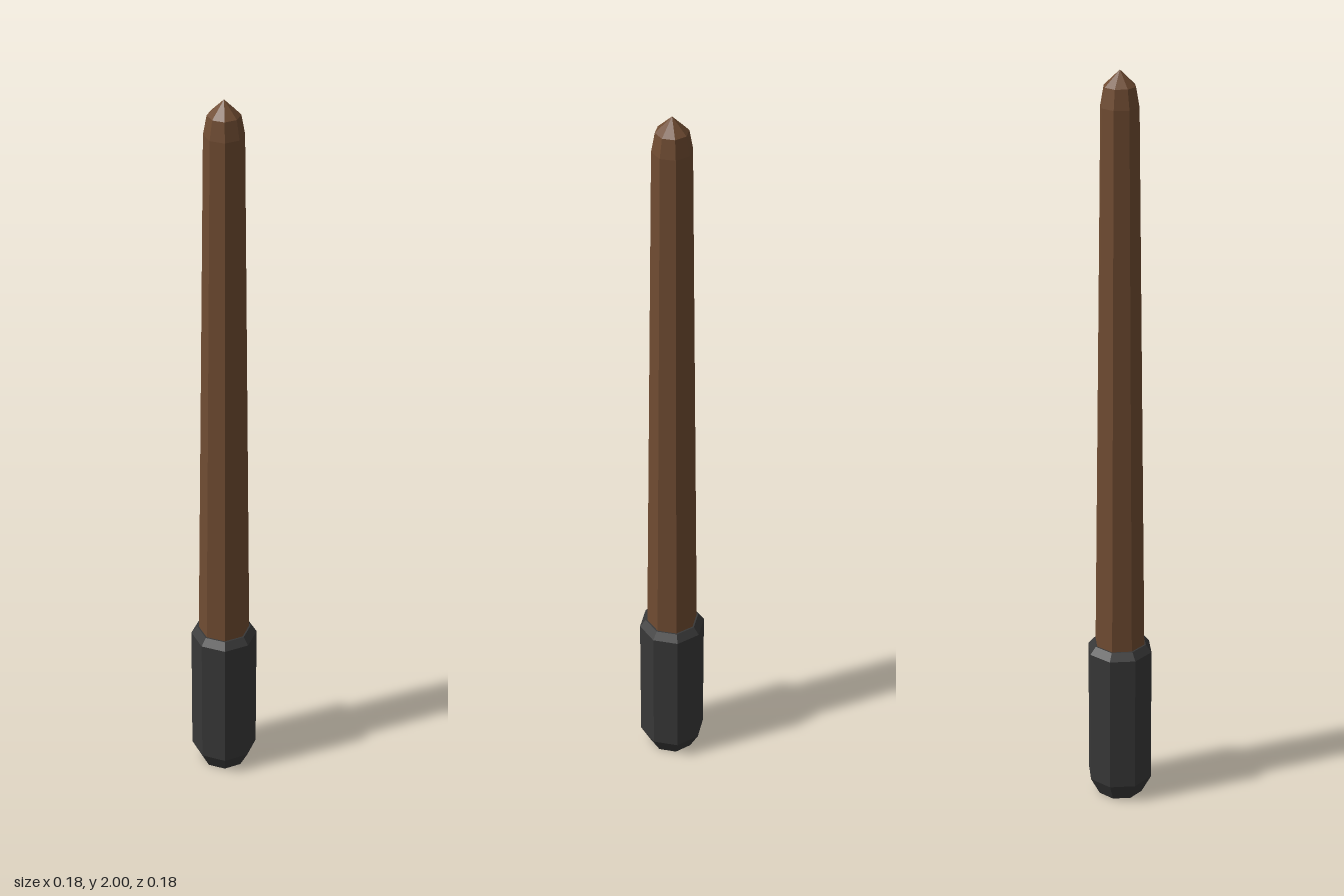
import * as THREE from 'three';

// Eight-sided turned part from [radius, height] pairs, listed bottom to top
function turned(name, color, profile) {
  const points = profile.map(([r, y]) => new THREE.Vector2(r, y));
  const material = new THREE.MeshStandardMaterial({ color, flatShading: true });
  const mesh = new THREE.Mesh(new THREE.LatheGeometry(points, 8), material);
  mesh.name = name;
  return mesh;
}

export function createModel() {
  const group = new THREE.Group();
  group.name = 'wand';

  // Dark grip with chamfered ends
  group.add(turned('handle', 0x383838, [
    [0, 0], [0.062, 0], [0.088, 0.05], [0.088, 0.43], [0.072, 0.45], [0, 0.45],
  ]));

  // Tapered wooden shaft with a pointed tip
  group.add(turned('shaft', 0x704c32, [
    [0, 0.44], [0.068, 0.44], [0.05, 1.91], [0.041, 1.96], [0, 2],
  ]));

  return group;
}
